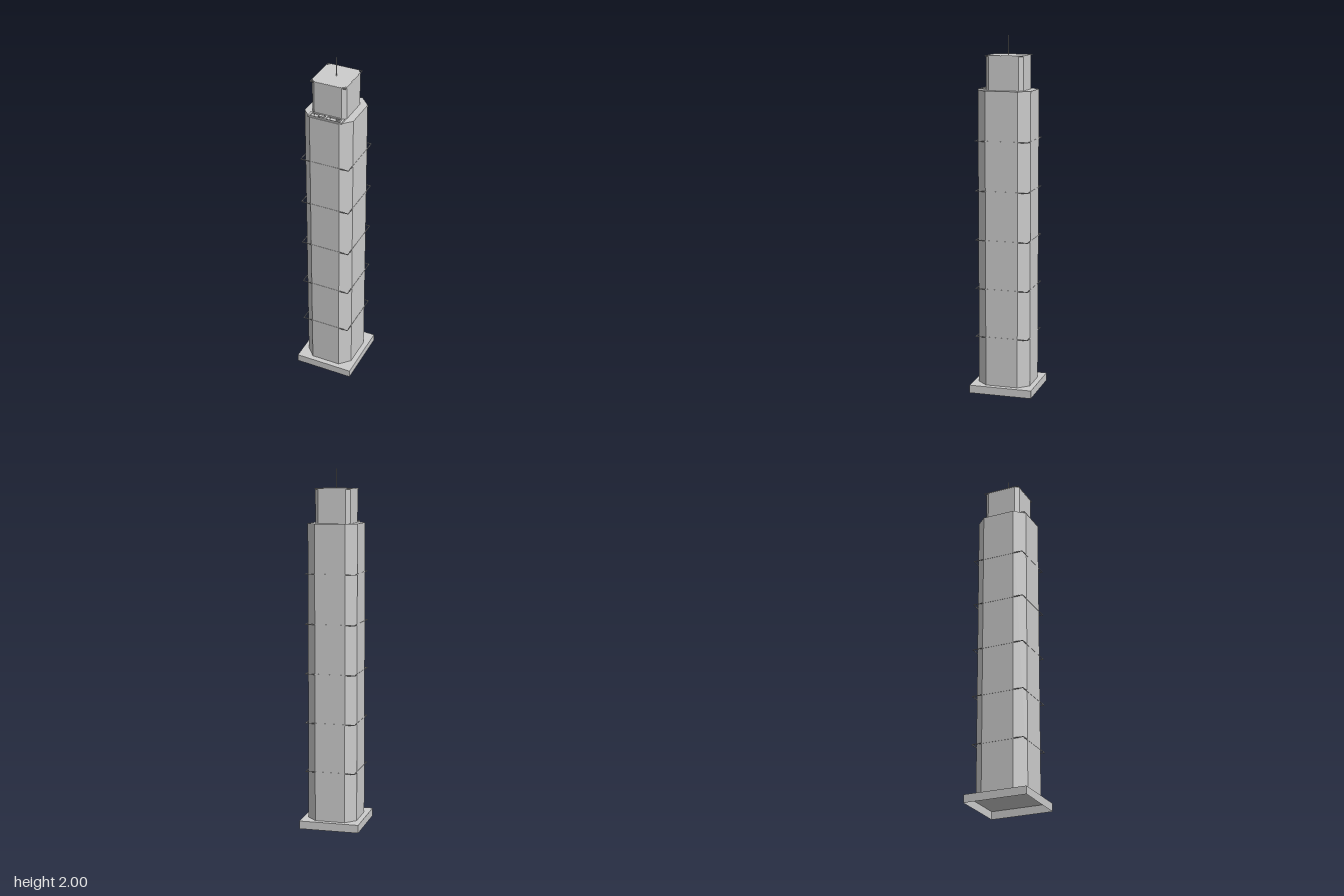
import * as THREE from 'three';

const stone = new THREE.MeshStandardMaterial({ color: 0xcccccc, side: THREE.DoubleSide });
stone.name = 'pale grey stone';

// Closed outlines as [x, z] points
const rect = (x0, z0, x1, z1) => [[x0, z0], [x1, z0], [x1, z1], [x0, z1]];
const centredRect = (w, d) => rect(-w, -d, w, d);
// Rectangle of half size w, d with its corners cut back to cx, cz
const octagon = (w, d, cx, cz) => [
  [w, cz], [cx, d], [-cx, d], [-w, cz], [-w, -cz], [-cx, -d], [cx, -d], [w, -cz],
];

const toVectors = (pts) => pts.map(([x, z]) => new THREE.Vector2(x, -z));

// Upright prism standing on y, with optional holes
function prism(name, outline, y, height, holes = []) {
  const shape = new THREE.Shape(toVectors(outline));
  shape.holes = holes.map((h) => new THREE.Path(toVectors(h)));
  const geo = new THREE.ExtrudeGeometry(shape, { depth: height, bevelEnabled: false });
  geo.rotateX(-Math.PI / 2);
  const mesh = new THREE.Mesh(geo, stone);
  mesh.name = name;
  mesh.position.y = y;
  return mesh;
}

// Thin square-cornered band that leaves open triangles at the cut corners
const band = (name, w, d, y) =>
  prism(name, centredRect(w + 0.0015, d + 0.0015), y, 0.004, [centredRect(w - 0.0015, d - 0.0015)]);

// Plinth: four walls and a top, hollow underneath
function createPlinth() {
  const group = new THREE.Group();
  group.name = 'plinth';
  const h = 0.045;
  const top = new THREE.Mesh(new THREE.PlaneGeometry(0.34, 0.36), stone);
  top.name = 'plinthTop';
  top.rotation.x = -Math.PI / 2;
  top.position.y = h;
  group.add(top);
  for (let i = 0; i < 4; i++) {
    const alongX = i % 2 === 0;
    const wall = new THREE.Mesh(new THREE.PlaneGeometry(alongX ? 0.34 : 0.36, h), stone);
    wall.name = 'plinthWall';
    const a = (i * Math.PI) / 2;
    const r = alongX ? 0.18 : 0.17;
    wall.rotation.y = a;
    wall.position.set(Math.sin(a) * r, h / 2, Math.cos(a) * r);
    group.add(wall);
  }
  return group;
}

// Roof terrace: a tray with two sunken bays and small objects inside
function createTerrace() {
  const group = new THREE.Group();
  group.name = 'roofTerrace';
  const y = 1.705;
  const outline = rect(-0.098, 0.106, 0.098, 0.146);
  const bays = [rect(-0.086, 0.112, -0.005, 0.142), rect(0.005, 0.112, 0.085, 0.142)];
  group.add(prism('terraceFloor', outline, y, 0.002));
  group.add(prism('terraceRim', outline, y + 0.002, 0.007, bays));

  for (const x of [-0.068, 0.023]) {
    const post = new THREE.Mesh(new THREE.CylinderGeometry(0.002, 0.002, 0.012, 8), stone);
    post.name = 'terracePost';
    post.position.set(x, y + 0.008, 0.125);
    group.add(post);
  }
  for (const [x, z, turn, h] of [[-0.031, 0.127, -0.25, 0.009], [-0.018, 0.129, 0.05, 0.011]]) {
    const crate = new THREE.Mesh(new THREE.BoxGeometry(0.017, h, 0.018), stone);
    crate.name = 'terraceBox';
    crate.position.set(x, y + 0.002 + h / 2, z);
    crate.rotation.y = turn;
    group.add(crate);
  }
  const clump = [
    [0.058, 0.123], [0.064, 0.121], [0.069, 0.123], [0.075, 0.120], [0.079, 0.125],
    [0.074, 0.130], [0.068, 0.129], [0.062, 0.132], [0.058, 0.129],
  ];
  group.add(prism('terraceClump', clump, y + 0.002, 0.009));
  return group;
}

export function createModel() {
  const model = new THREE.Group();
  model.name = 'tower';

  model.add(createPlinth());

  // Main shaft with cut corners
  model.add(prism('shaft', octagon(0.14, 0.15, 0.085, 0.092), 0.045, 1.66));
  for (let i = 0; i < 5; i++) {
    model.add(band('shaftBand', 0.14, 0.15, 0.323 + i * 0.2765));
  }

  // Narrower top storey
  model.add(prism('topStorey', octagon(0.099, 0.106, 0.078, 0.084), 1.705, 0.19));
  model.add(band('topBand', 0.099, 0.106, 1.89));

  model.add(createTerrace());

  // Mast
  const mast = new THREE.Mesh(new THREE.CylinderGeometry(0.003, 0.003, 0.105, 12), stone);
  mast.name = 'mast';
  mast.position.y = 1.9475;
  model.add(mast);

  return model;
}
